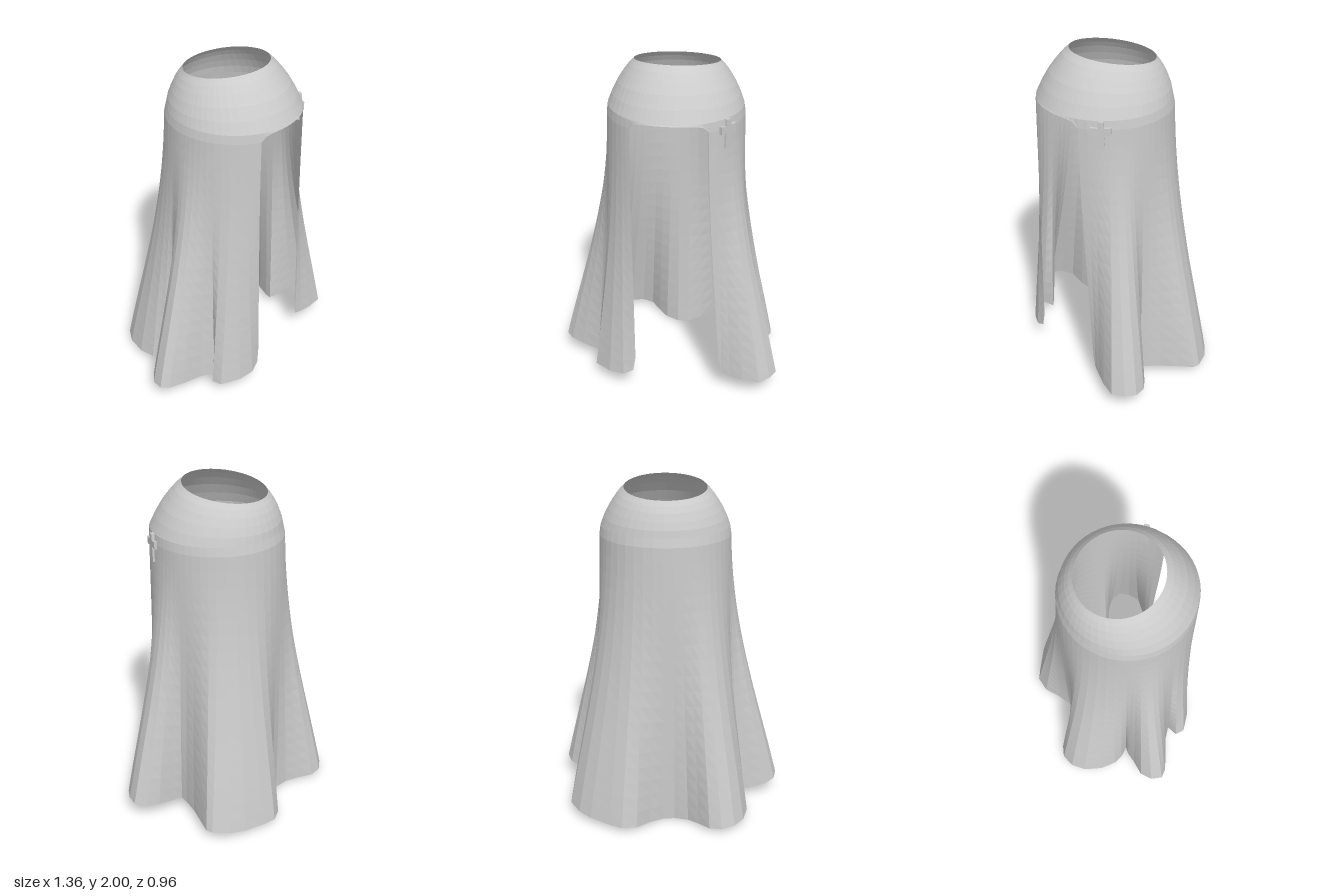
import * as THREE from 'three';

const CX = 0.03, CZ = 0.09, R = 0.389, SHOULDER_Y = 1.69;

// Hem of the cloak as [x, y, z], from one front edge around the back to the other
const HEM = [
  [-0.165, 0.22, 0.44], [-0.18, 0.13, 0.445], [-0.24, 0.1, 0.45], [-0.33, 0.09, 0.42], [-0.43, 0.085, 0.35],
  [-0.435, 0.08, 0.29], [-0.37, 0.08, 0.26], [-0.44, 0.08, 0.21], [-0.56, 0.085, 0.16], [-0.64, 0.09, 0.12],
  [-0.68, 0.1, 0.08], [-0.66, 0.09, 0.01], [-0.6, 0.08, -0.04], [-0.5, 0.06, -0.05], [-0.43, 0.055, -0.065],
  [-0.385, 0.05, -0.06], [-0.43, 0.045, -0.11], [-0.455, 0.04, -0.17], [-0.455, 0.035, -0.27], [-0.42, 0.035, -0.38],
  [-0.36, 0.035, -0.45], [-0.28, 0.03, -0.48], [-0.21, 0.025, -0.46], [-0.15, 0.015, -0.39], [-0.09, 0.005, -0.33],
  [-0.01, 0, -0.3], [0.06, 0, -0.305], [0.14, 0.01, -0.355], [0.22, 0.02, -0.425], [0.31, 0.03, -0.445],
  [0.38, 0.03, -0.41], [0.5, 0.04, -0.34], [0.57, 0.05, -0.28], [0.625, 0.06, -0.19], [0.625, 0.06, -0.15],
  [0.57, 0.06, -0.08], [0.5, 0.06, 0.01], [0.455, 0.065, 0.09], [0.44, 0.07, 0.13], [0.5, 0.08, 0.16],
  [0.59, 0.1, 0.2], [0.65, 0.11, 0.25], [0.675, 0.12, 0.32], [0.64, 0.115, 0.38], [0.58, 0.11, 0.43],
  [0.48, 0.11, 0.42], [0.4, 0.115, 0.4], [0.35, 0.13, 0.39], [0.33, 0.2, 0.39],
];
const N = HEM.length - 1;
const { lerp } = THREE.MathUtils;

// Evens out a row of numbers, keeping both ends
function smooth(list, passes) {
  for (let k = 0; k < passes; k++) {
    list = list.map((a, i) => (i === 0 || i === list.length - 1 ? a : (list[i - 1] + 2 * a + list[i + 1]) / 4));
  }
  return list;
}

// Grid surface from point(i, j); i runs around, j runs downwards
function sheet(name, cols, rows, point, material) {
  const pos = [], index = [];
  for (let i = 0; i <= cols; i++) {
    for (let j = 0; j <= rows; j++) {
      pos.push(...point(i, j));
      if (i < cols && j < rows) {
        const a = i * (rows + 1) + j, c = a + rows + 1;
        index.push(a, c, a + 1, c, c + 1, a + 1);
      }
    }
  }
  const g = new THREE.BufferGeometry();
  g.setAttribute('position', new THREE.Float32BufferAttribute(pos, 3));
  g.setIndex(index);
  g.computeVertexNormals();
  const mesh = new THREE.Mesh(g, material);
  mesh.name = name;
  return mesh;
}

// Angles on the shoulder circle for each hem point, evened out so folds fan smoothly
function shoulderAngles() {
  const start = -0.56, end = 0.602 - Math.PI * 2;
  let angles = HEM.map(([x, , z]) => Math.atan2(x - CX, z - CZ));
  for (let i = 1; i <= N; i++) {
    while (angles[i] > angles[i - 1] + Math.PI) angles[i] -= Math.PI * 2;
  }
  angles[0] = start;
  angles[N] = end;
  angles = smooth(angles, 5);
  for (let i = 1; i < N; i++) {
    angles[i] = Math.max(Math.min(angles[i], angles[i - 1] - 0.02), end + 0.02 * (N - i));
  }
  return angles;
}

export function createModel() {
  const group = new THREE.Group();
  group.name = 'cloak';
  const cloth = new THREE.MeshStandardMaterial({ color: 0xcccccc, side: THREE.DoubleSide, flatShading: true });
  const angles = shoulderAngles();

  // Hanging folds: the shoulder circle flares out, and the folds deepen towards the hem
  const rows = 18, softX = smooth(HEM.map(p => p[0]), 3), softZ = smooth(HEM.map(p => p[2]), 3);
  group.add(sheet('drape', N, rows, (i, j) => {
    const v = j / rows, w = v * v * (1.9 - 0.9 * v), [hx, hy, hz] = HEM[i], a = angles[i];
    const top = (1 - v) ** 8, r = R - 0.005 * top, cz = CZ + 0.003 * top;
    return [
      lerp(CX + r * Math.sin(a), lerp(softX[i], hx, v), w),
      lerp(SHOULDER_Y, hy, v),
      lerp(cz + r * Math.cos(a), lerp(softZ[i], hz, v), w),
    ];
  }, cloth));

  // Shoulder cape with a tilted neck hole: [y, radius, centre z, tilt]
  const rings = [
    [1.965, 0.238, 0.043, 0.15], [1.935, 0.268, 0.05, 0.13], [1.9, 0.295, 0.057, 0.11], [1.85, 0.327, 0.07, 0.08],
    [1.795, 0.355, 0.083, 0.04], [1.74, 0.376, 0.097, 0], [SHOULDER_Y, 0.384, 0.093, 0],
  ];
  const last = rings.length - 1;
  const ringPoint = (a, j) => {
    const [y, r, cz, tilt] = rings[j];
    return [CX + r * Math.sin(a), y + tilt * r * Math.cos(a), cz + r * Math.cos(a)];
  };
  group.add(sheet('shoulders', N, last, (i, j) => ringPoint(angles[i], j), cloth));

  // Front of the shoulders, ending at the rounded top of the opening
  const F = 14, a0 = angles[N], a1 = angles[0] - Math.PI * 2;
  group.add(sheet('frontYoke', F, last, (i, j) => {
    const p = ringPoint(lerp(a0, a1, i / F), j), u = Math.abs(2 * i / F - 1);
    if (j === last) p[1] = 1.735 - 0.012 * u ** 2 - 0.033 * u ** 10;
    return p;
  }, cloth));

  // Small cross badge on the left of the chest
  const half = [[0.014, 0.08], [0.018, 0.045], [0.055, 0.048], [0.055, 0.004], [0.017, 0.008], [0.023, -0.08]];
  const outline = [...half, ...half.map(([x, y]) => [-x, y]).reverse()].map(p => new THREE.Vector2(...p));
  const cross = new THREE.Mesh(
    new THREE.ExtrudeGeometry(new THREE.Shape(outline), { depth: 0.02, bevelEnabled: false }),
    new THREE.MeshStandardMaterial({ color: 0xcccccc, flatShading: true }));
  cross.name = 'crossBadge';
  const a = Math.atan2(0.31, 0.24);
  cross.position.set(CX + 0.378 * Math.sin(a), 1.66, CZ + 0.378 * Math.cos(a));
  cross.rotation.y = a;
  group.add(cross);

  return group;
}
